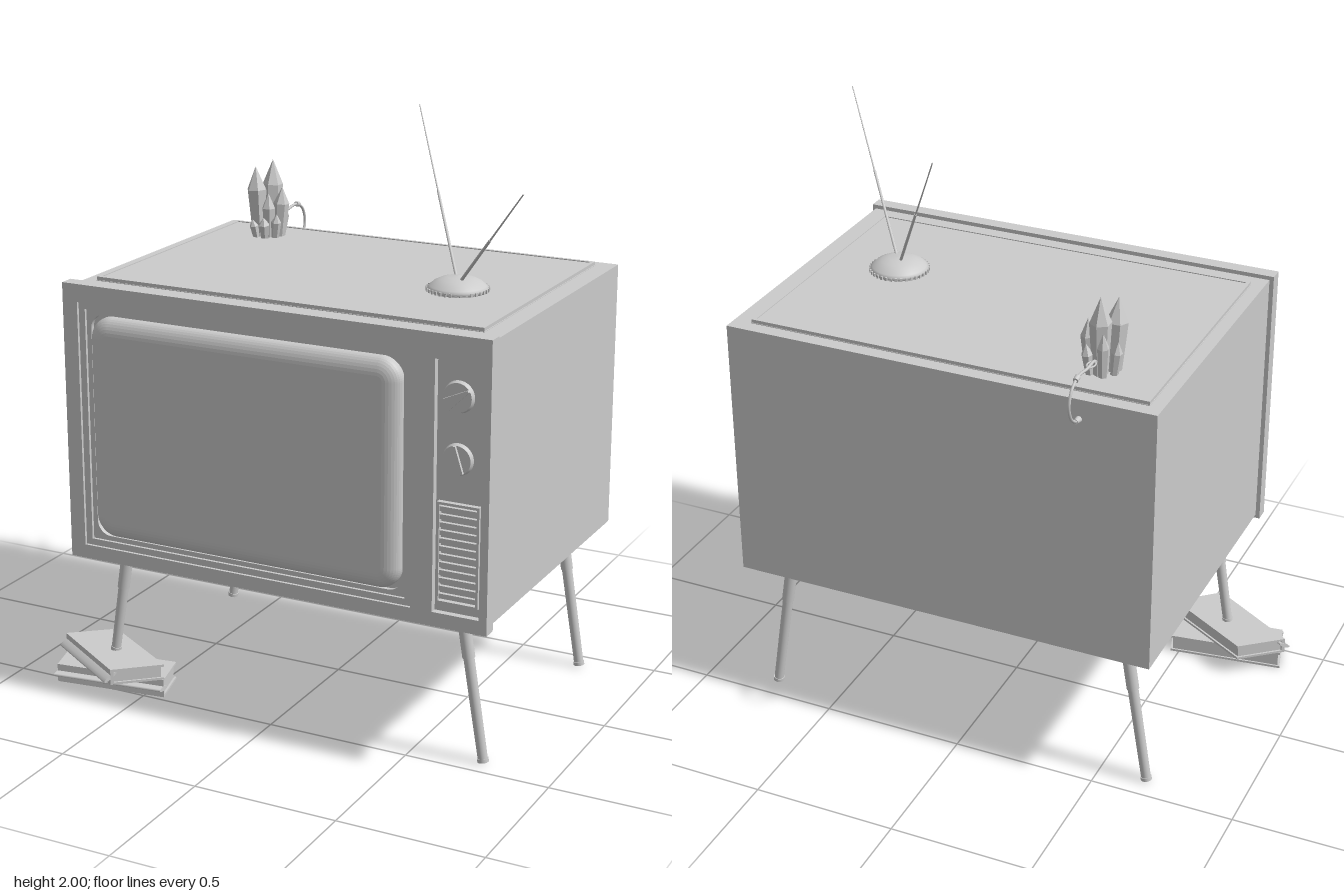
import * as THREE from 'three';

const grey = new THREE.MeshStandardMaterial({ color: 0xcccccc, side: THREE.DoubleSide });
const flat = new THREE.MeshStandardMaterial({ color: 0xcccccc, flatShading: true });
const V = (x, y, z) => new THREE.Vector3(x, y, z);

function add(parent, name, geometry, material = grey) {
  const mesh = new THREE.Mesh(geometry, material);
  mesh.name = name;
  parent.add(mesh);
  return mesh;
}

// Box given by its min and max corners
function box(parent, name, x0, x1, y0, y1, z0, z1) {
  const m = add(parent, name, new THREE.BoxGeometry(x1 - x0, y1 - y0, z1 - z0));
  m.position.set((x0 + x1) / 2, (y0 + y1) / 2, (z0 + z1) / 2);
  return m;
}

// Tapered rod between two points
function rod(parent, name, a, b, ra, rb, sides = 16) {
  const m = add(parent, name, new THREE.CylinderGeometry(rb, ra, a.distanceTo(b), sides));
  m.position.copy(a).lerp(b, 0.5);
  m.quaternion.setFromUnitVectors(V(0, 1, 0), b.clone().sub(a).normalize());
  return m;
}

// Rectangle outline with optional rounded corners
function rect(x0, x1, y0, y1, r = 0, Type = THREE.Shape) {
  const s = new Type();
  if (!r) {
    return s.moveTo(x0, y0).lineTo(x1, y0).lineTo(x1, y1).lineTo(x0, y1).closePath();
  }
  s.absarc(x1 - r, y0 + r, r, -Math.PI / 2, 0);
  s.absarc(x1 - r, y1 - r, r, 0, Math.PI / 2);
  s.absarc(x0 + r, y1 - r, r, Math.PI / 2, Math.PI);
  s.absarc(x0 + r, y0 + r, r, Math.PI, Math.PI * 1.5);
  return s.closePath();
}

// Flat plate in the front plane, cut by holes
function plate(parent, name, outer, holes, z0, z1) {
  const s = rect(...outer);
  holes.forEach(h => s.holes.push(rect(h[0], h[1], h[2], h[3], h[4] || 0, THREE.Path)));
  const g = new THREE.ExtrudeGeometry(s, { depth: z1 - z0, bevelEnabled: false, curveSegments: 8 });
  return add(parent, name, g.translate(0, 0, z0));
}

// Book on a four-cornered footprint; the first edge is the spine
function book(parent, name, corners, y0, y1) {
  const g = new THREE.Group();
  g.name = name;
  parent.add(g);
  const slab = (part, pts, a, b) => {
    const s = new THREE.Shape(pts.map(([x, z]) => new THREE.Vector2(x, -z)));
    const geo = new THREE.ExtrudeGeometry(s, { depth: b - a, bevelEnabled: false });
    add(g, part, geo.rotateX(-Math.PI / 2).translate(0, a, 0));
  };
  const mix = (p, q, t) => [p[0] + (q[0] - p[0]) * t, p[1] + (q[1] - p[1]) * t];
  const [a, b, c, d] = corners;
  const t = 0.008;
  slab('lowerCover', corners, y0, y0 + t);
  slab('upperCover', corners, y1 - t, y1);
  slab('spine', [a, b, mix(b, c, 0.06), mix(a, d, 0.06)], y0 + t, y1 - t);
  const p = mix(a, b, 0.02), q = mix(b, a, 0.02), r = mix(c, d, 0.02), s = mix(d, c, 0.02);
  slab('pages', [mix(p, s, 0.05), mix(q, r, 0.05), mix(q, r, 0.96), mix(p, s, 0.96)], y0 + t, y1 - t);
  const e0 = V(a[0], (y0 + y1) / 2, a[1]), e1 = V(b[0], (y0 + y1) / 2, b[1]);
  rod(g, 'roundedSpine', e0, e1, (y1 - y0) / 2, (y1 - y0) / 2, 12).scale.set(0.25, 1, 1);
  g.children.at(-1).visible = true;
}

export function createModel() {
  const model = new THREE.Group();
  model.name = 'television';

  // Cabinet with its raised top panel
  box(model, 'cabinet', -0.7, 0.8, 0.525, 1.452, -0.52, 0.55);
  const lid = new THREE.ExtrudeGeometry(rect(-0.645, 0.725, -0.46, 0.46),
    { depth: 0.002, bevelThickness: 0.009, bevelSize: 0.011, bevelSegments: 1 });
  add(model, 'topPanel', lid.rotateX(-Math.PI / 2).translate(0, 1.452, 0));
  const rim = rect(-0.655, 0.735, -0.47, 0.47);
  rim.holes.push(rect(-0.642, 0.722, -0.457, 0.457, 0, THREE.Path));
  const rimGeo = new THREE.ExtrudeGeometry(rim, { depth: 0.014, bevelEnabled: false });
  add(model, 'topTrim', rimGeo.rotateX(-Math.PI / 2).translate(0, 1.452, 0));

  // Front frame, stepped bezel and bulging screen
  plate(model, 'frontFrame', [-0.715, 0.812, 0.512, 1.466],
    [[-0.66, 0.55, 0.56, 1.405], [0.625, 0.785, 0.56, 1.385]], 0.535, 0.585);
  plate(model, 'screenBezel', [-0.66, 0.55, 0.56, 1.405], [[-0.637, 0.527, 0.582, 1.382]], 0.54, 0.575);
  plate(model, 'screenSurround', [-0.637, 0.527, 0.582, 1.382], [[-0.62, 0.513, 0.598, 1.367, 0.05]], 0.54, 0.565);
  const glass = new THREE.ExtrudeGeometry(rect(-0.56, 0.453, 0.658, 1.307, 0.02),
    { depth: 0.01, bevelThickness: 0.036, bevelSize: 0.056, bevelSegments: 8, curveSegments: 8 });
  add(model, 'screen', glass.translate(0, 0, 0.552));

  // Control panel, knobs and speaker grille
  box(model, 'controlPanel', 0.625, 0.785, 0.56, 1.385, 0.54, 0.562);
  [[1.268, 0.6], [1.068, 1.7]].forEach(([y, angle]) => {
    const knob = new THREE.Group();
    knob.name = 'knob';
    knob.position.set(0.697, y, 0.562);
    knob.rotation.z = angle;
    add(knob, 'knobDisc', new THREE.CylinderGeometry(0.047, 0.052, 0.014, 32).rotateX(Math.PI / 2)).position.z = 0.007;
    const grip = new THREE.Shape([[-0.042, -0.02], [0.047, -0.004], [0.047, 0.004], [-0.042, 0.02]]
      .map(p => new THREE.Vector2(...p)));
    add(knob, 'knobGrip', new THREE.ExtrudeGeometry(grip, { depth: 0.024, bevelEnabled: false }));
    model.add(knob);
  });
  plate(model, 'speakerFrame', [0.635, 0.778, 0.592, 0.927], [[0.643, 0.77, 0.6, 0.919]], 0.555, 0.58);
  for (let i = 0; i < 12; i++) {
    const y = 0.606 + i * 0.0263;
    box(model, 'speakerSlat', 0.643, 0.77, y, y + 0.016, 0.555, 0.575);
  }

  // Splayed legs; the front right one rests on the books
  for (const side of [-1, 1]) for (const z of [0.435, -0.42]) {
    const at = y => V(0.04 + side * (0.708 - y * 0.162), y, z);
    const foot = side < 0 && z > 0 ? 0.12 : 0.005;
    rod(model, 'legUpper', at(0.36), at(0.53), 0.021, 0.021);
    rod(model, 'legLower', at(foot), at(0.36), 0.0165, 0.018);
    rod(model, 'legFoot', at(foot), at(foot + 0.012), 0.019, 0.019);
  }

  // Books
  book(model, 'upperBook', [[-0.88, 0.4], [-0.57, 0.597], [-0.43, 0.475], [-0.74, 0.285]], 0.065, 0.121);
  book(model, 'lowerBook', [[-0.83, 0.533], [-0.43, 0.48], [-0.47, 0.33], [-0.87, 0.385]], 0, 0.065);

  // Antenna: ribbed dome and two rods
  const dome = [[0, 0], [0.098, 0], [0.1, 0.012], [0.092, 0.018], [0.08, 0.029], [0.06, 0.039], [0.035, 0.046], [0, 0.049]];
  add(model, 'antennaBase', new THREE.LatheGeometry(dome.map(p => new THREE.Vector2(...p)), 40)).position.set(0.473, 1.462, 0.08);
  for (let i = 0; i < 36; i++) {
    const a = i / 36 * Math.PI * 2;
    const rib = box(model, 'antennaBaseRib', -0.004, 0.004, 0, 0.012, -0.004, 0.004);
    rib.position.set(0.473 + Math.cos(a) * 0.1, 1.469, 0.08 + Math.sin(a) * 0.1);
    rib.rotation.y = -a;
  }
  [[V(0.465, 1.495, 0.07), V(0.2, 2, -0.2)], [V(0.487, 1.495, 0.095), V(0.88, 1.905, 0.54)]].forEach(([a, b]) => {
    const mid = a.clone().lerp(b, 0.5);
    rod(model, 'antennaLower', a, mid, 0.0055, 0.0045, 8);
    rod(model, 'antennaUpper', mid, b, 0.003, 0.002, 8);
  });

  // Crystal cluster: x, z at the tip, tip height, radius
  const crystals = new THREE.Group();
  crystals.name = 'crystalCluster';
  model.add(crystals);
  [[-0.482, -0.302, 1.712, 0.036], [-0.445, -0.362, 1.73, 0.036], [-0.395, -0.338, 1.64, 0.028],
    [-0.43, -0.3, 1.62, 0.025], [-0.465, -0.385, 1.62, 0.02], [-0.5, -0.345, 1.58, 0.018],
    [-0.432, -0.265, 1.54, 0.02], [-0.395, -0.295, 1.55, 0.018], [-0.405, -0.378, 1.57, 0.02],
    [-0.478, -0.268, 1.53, 0.016]].forEach(([x, z, top, r]) => {
    const h = top - 1.455;
    const profile = [[0, 0], [r * 0.7, 0], [r, h * 0.68], [0, h]].map(p => new THREE.Vector2(...p));
    const base = V(x * 0.75 - 0.445 * 0.25, 1.455, z * 0.75 - 0.33 * 0.25);
    const m = add(crystals, 'crystal', new THREE.LatheGeometry(profile, 6, x * 40), flat);
    m.position.copy(base);
    m.quaternion.setFromUnitVectors(V(0, 1, 0), V(x, top, z).sub(base).normalize());
  });

  // Cable curling over the back, with loop and plug
  const path = new THREE.CatmullRomCurve3([[1.47, -0.36], [1.525, -0.395], [1.528, -0.46], [1.535, -0.53],
    [1.51, -0.58], [1.46, -0.598], [1.41, -0.578], [1.385, -0.54], [1.383, -0.515]].map(([y, z]) => V(-0.443, y, z)));
  add(model, 'cable', new THREE.TubeGeometry(path, 48, 0.005, 8));
  const loop = add(model, 'cableLoop', new THREE.TorusGeometry(0.013, 0.003, 8, 20).rotateX(Math.PI / 2));
  loop.position.set(-0.443, 1.527, -0.425);
  loop.scale.z = 1.6;
  rod(model, 'cableCollar', V(-0.443, 1.536, -0.53), V(-0.443, 1.531, -0.55), 0.009, 0.009, 12);
  rod(model, 'cablePlug', V(-0.443, 1.383, -0.515), V(-0.443, 1.386, -0.545), 0.012, 0.008, 12);
  return model;
}
